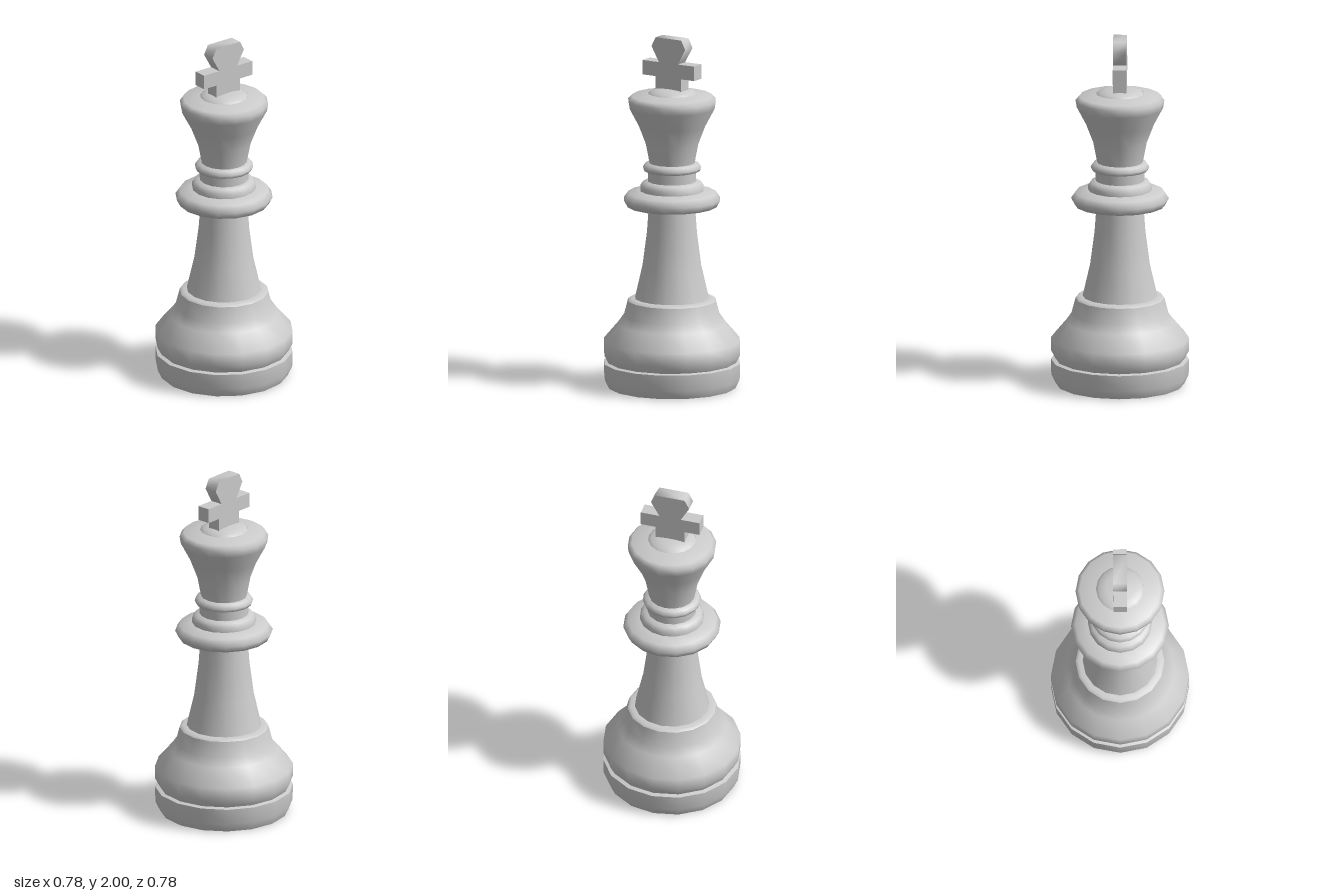
import * as THREE from 'three';
import { toCreasedNormals } from 'three/addons/utils/BufferGeometryUtils.js';

const SIDES = 16;
const material = new THREE.MeshStandardMaterial({ color: 0xcccccc, side: THREE.DoubleSide });

// Turned part: [radius, height] pairs from bottom to top
function turned(name, profile) {
  const points = profile.map(([r, y]) => new THREE.Vector2(r, y));
  const mesh = new THREE.Mesh(new THREE.LatheGeometry(points, SIDES), material);
  mesh.name = name;
  return mesh;
}

// Flat cross, mirrored from its right-hand outline and extruded in z
function cross() {
  const half = [[0.085, 1.69], [0.085, 1.777], [0.172, 1.777], [0.172, 1.86],
    [0.063, 1.86], [0.112, 1.947], [0.085, 2]];
  const outline = [...half, ...half.map(([x, y]) => [-x, y]).reverse()];
  const shape = new THREE.Shape(outline.map(([x, y]) => new THREE.Vector2(x, y)));
  const depth = 0.077;
  const geometry = new THREE.ExtrudeGeometry(shape, { depth, bevelEnabled: false });
  geometry.translate(0, 0, -depth / 2);
  const mesh = new THREE.Mesh(toCreasedNormals(geometry, 1.15), material);
  mesh.name = 'cross';
  return mesh;
}

export function createModel() {
  const group = new THREE.Group();
  group.name = 'chessKing';
  group.add(
    // Foot
    turned('footUnderside', [[0, 0], [0.362, 0]]),
    turned('foot', [[0.362, 0], [0.386, 0.05], [0.388, 0.14]]),
    turned('footTop', [[0.388, 0.14], [0.365, 0.146]]),
    // Bulging base above the groove
    turned('base', [[0.365, 0.146], [0.388, 0.19], [0.388, 0.265], [0.307, 0.36],
      [0.272, 0.41], [0.25, 0.495]]),
    turned('baseTop', [[0.25, 0.495], [0.235, 0.507], [0.2, 0.508]]),
    // Tapered stem
    turned('stem', [[0.21, 0.508], [0.168, 0.69], [0.143, 0.88], [0.132, 1.03]]),
    // Collar and the smaller rings on it
    turned('collar', [[0.13, 1.03], [0.19, 1.03], [0.255, 1.037], [0.275, 1.075],
      [0.25, 1.112], [0.18, 1.125]]),
    turned('upperCollar', [[0.18, 1.122], [0.18, 1.15], [0.165, 1.172], [0.137, 1.18]]),
    turned('neck', [[0.138, 1.178], [0.138, 1.237]]),
    turned('neckRing', [[0.135, 1.234], [0.158, 1.24], [0.165, 1.257], [0.152, 1.278],
      [0.125, 1.286]]),
    // Flared head with rounded rim
    turned('head', [[0.128, 1.28], [0.15, 1.395], [0.19, 1.5], [0.243, 1.6],
      [0.25, 1.643], [0.228, 1.668], [0.135, 1.682]]),
    turned('dome', [[0.135, 1.68], [0.12, 1.695], [0.08, 1.708], [0, 1.715]]),
    cross()
  );
  return group;
}
